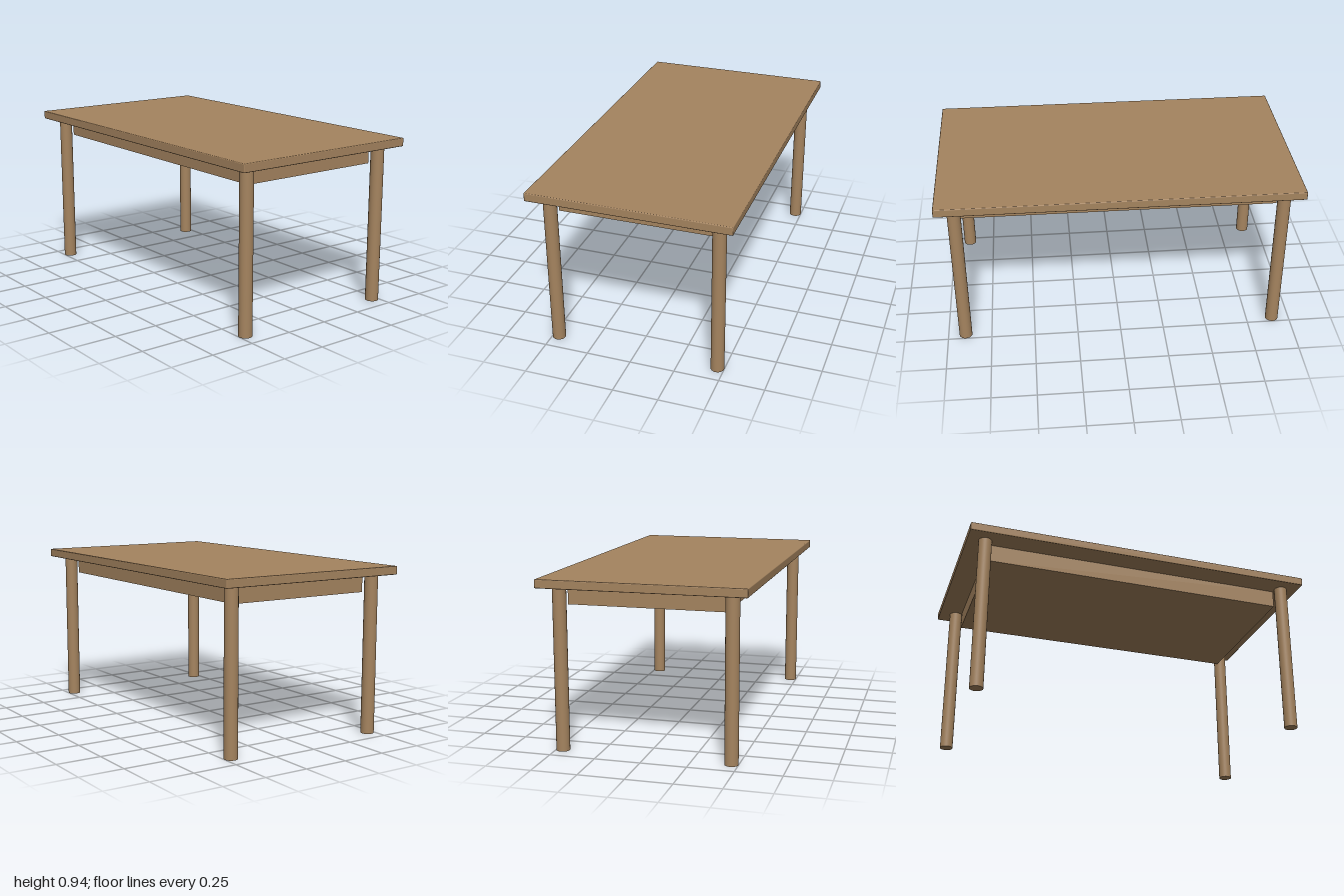
import * as THREE from 'three';
import { RoundedBoxGeometry } from 'three/addons/geometries/RoundedBoxGeometry.js';

export function createModel() {
  const model = new THREE.Group();
  model.name = 'table';
  const wood = new THREE.MeshStandardMaterial({ color: 0xa5845f });
  wood.name = 'wood';

  function add(name, geometry, x, y, z) {
    const mesh = new THREE.Mesh(geometry, wood);
    mesh.name = name;
    mesh.position.set(x, y, z);
    model.add(mesh);
  }

  const legHeight = 0.89, topHeight = 0.937, apronBottom = 0.79;

  // Slab with slightly softened edges
  const thickness = topHeight - legHeight;
  add('tableTop', new RoundedBoxGeometry(2, thickness, 1.12, 2, 0.005), 0, legHeight + thickness / 2, 0);

  // Solid apron block whose corners meet the legs
  const apronHeight = legHeight - apronBottom;
  add('apron', new THREE.BoxGeometry(1.736, apronHeight, 0.856), 0, apronBottom + apronHeight / 2, 0);

  // Four round legs
  const legGeometry = new THREE.CylinderGeometry(0.037, 0.037, legHeight, 32);
  for (const [side, x] of [['Left', 0.9], ['Right', -0.9]]) {
    for (const [end, z] of [['front', 0.463], ['back', -0.463]]) {
      add(`${end}${side}Leg`, legGeometry, x, legHeight / 2, z);
    }
  }

  return model;
}
